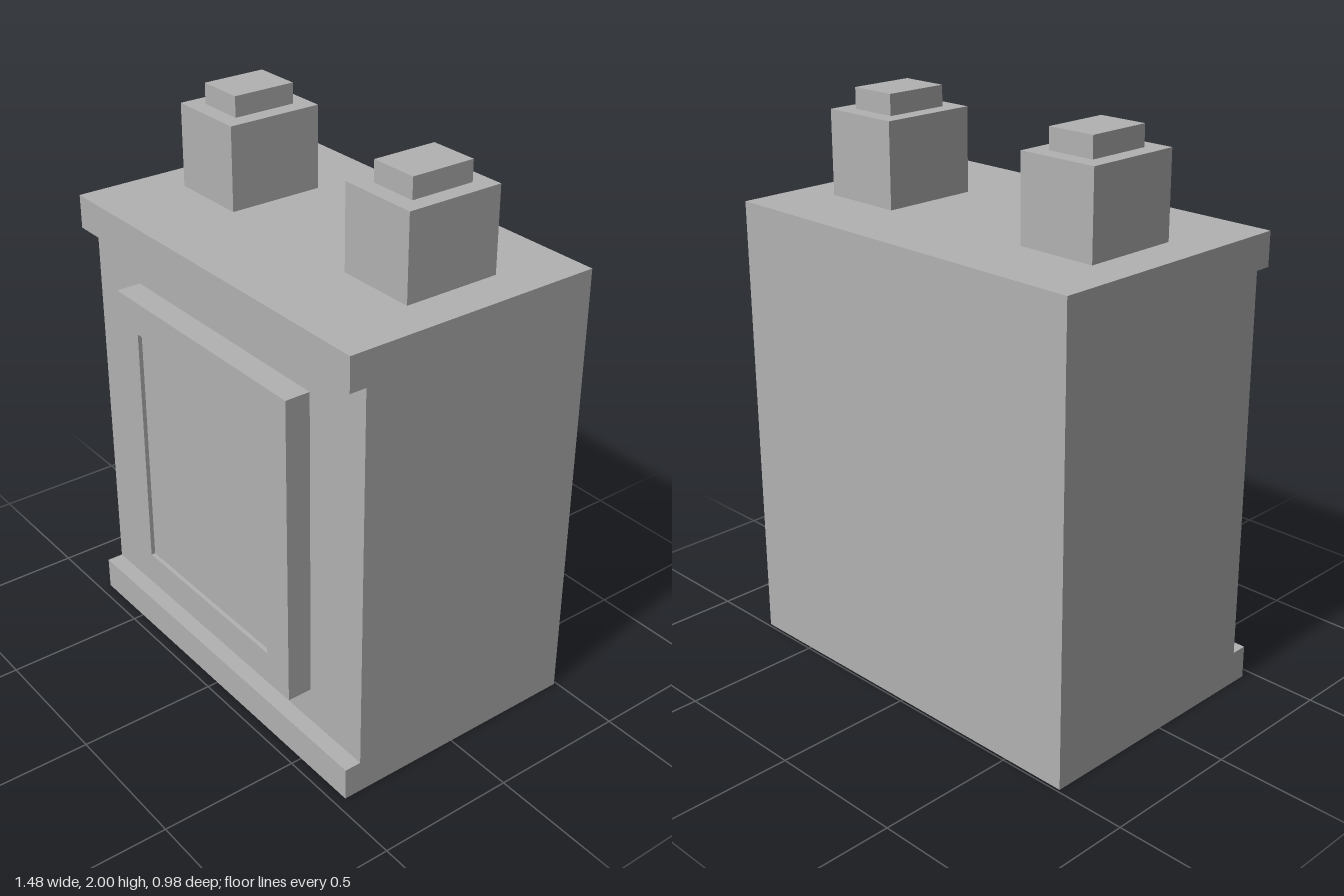
import * as THREE from 'three';

const WIDTH = 1.48;

export function createModel() {
  const group = new THREE.Group();
  const grey = new THREE.MeshStandardMaterial({ color: 0xb2b2b2 });
  grey.name = 'grey';

  const add = (geometry, name, parent = group) => {
    const mesh = new THREE.Mesh(geometry, grey);
    mesh.name = name;
    parent.add(mesh);
    return mesh;
  };

  // Case: side profile with overhanging front lips, extruded across the width
  const profile = [
    [-0.49, 0], [0.46, 0], [0.46, 0.12], [0.4, 0.12],
    [0.4, 1.51], [0.46, 1.51], [0.46, 1.63], [-0.49, 1.63],
  ];
  const side = new THREE.Shape(profile.map(([z, y]) => new THREE.Vector2(-z, y)));
  const caseGeometry = new THREE.ExtrudeGeometry(side, { depth: WIDTH, bevelEnabled: false });
  caseGeometry.translate(0, 0, -WIDTH / 2).rotateY(Math.PI / 2);
  add(caseGeometry, 'case');

  // Front panel: raised frame with a shallow sunken plate
  const rectangle = (Type, halfWidth, y0, y1) => new Type([
    new THREE.Vector2(-halfWidth, y0), new THREE.Vector2(halfWidth, y0),
    new THREE.Vector2(halfWidth, y1), new THREE.Vector2(-halfWidth, y1),
  ]);
  const frame = rectangle(THREE.Shape, 0.475, 0.25, 1.38);
  frame.holes.push(rectangle(THREE.Path, 0.357, 0.37, 1.262));
  add(new THREE.ExtrudeGeometry(frame, { depth: 0.09, bevelEnabled: false }), 'panelFrame')
    .position.z = 0.4;
  add(new THREE.BoxGeometry(0.714, 0.892, 0.075), 'panelPlate')
    .position.set(0, 0.816, 0.4375);

  // Terminals: a post with a smaller cap on each side
  for (const [sign, label] of [[1, 'left'], [-1, 'right']]) {
    const terminal = new THREE.Group();
    terminal.name = `${label}Terminal`;
    terminal.position.set(sign * 0.446, 1.63, -0.046);
    add(new THREE.BoxGeometry(0.295, 0.297, 0.354), 'post', terminal).position.y = 0.1485;
    add(new THREE.BoxGeometry(0.176, 0.073, 0.234), 'cap', terminal).position.y = 0.3335;
    group.add(terminal);
  }

  return group;
}
